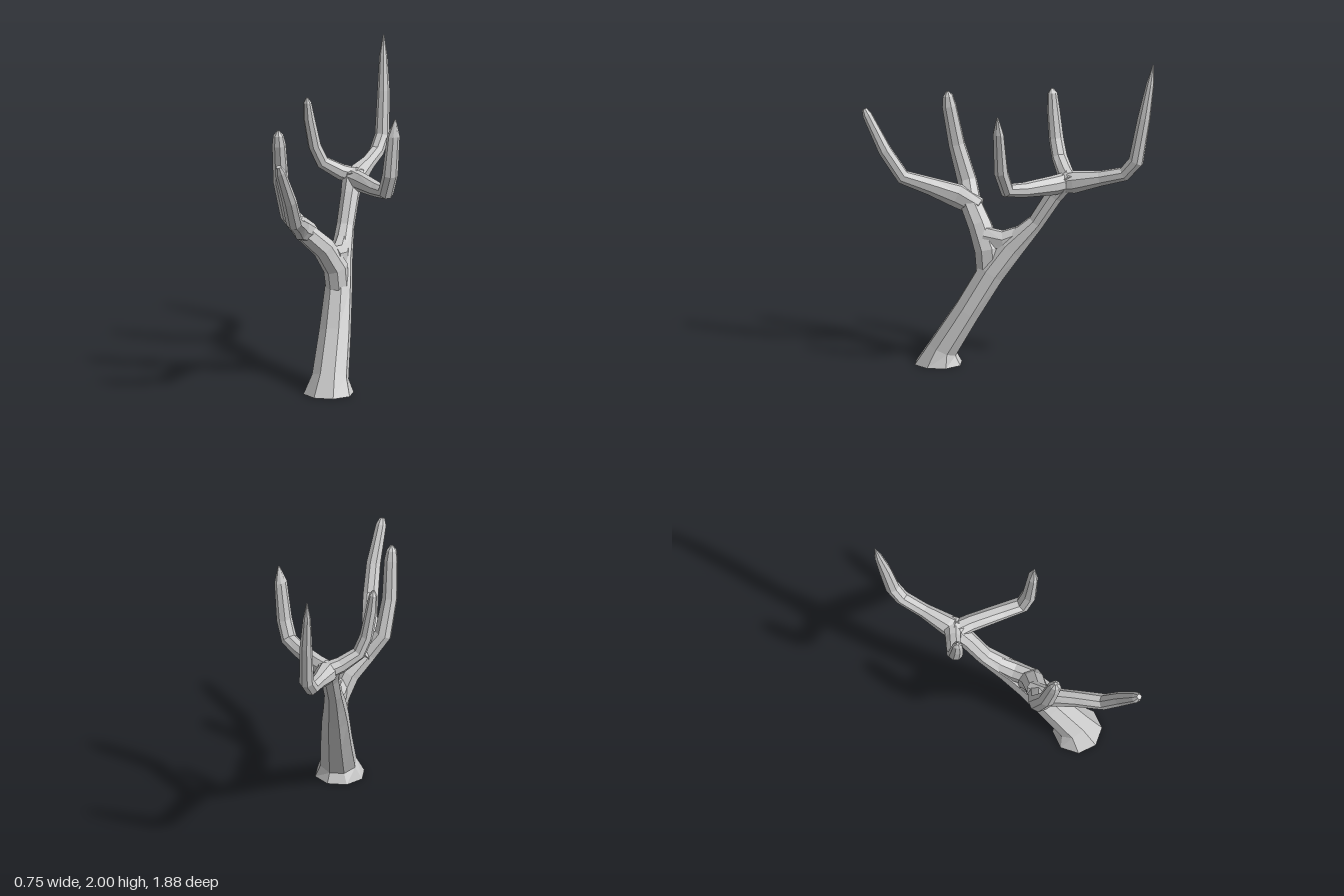
import * as THREE from 'three';

const SIDES = 8;
const material = new THREE.MeshStandardMaterial({ color: 0xcccccc, flatShading: true });

// Lofts an eight-sided limb through rings [x, y, z, radiusU, radiusV].
// "ref" sets the U direction; it is carried along the path without twisting.
function limb(name, ref, rings, startNormal) {
  const centres = rings.map(r => new THREE.Vector3(r[0], r[1], r[2]));
  const last = rings.length - 1;
  const u = new THREE.Vector3(...ref);
  const pos = [], index = [];
  rings.forEach(([, , , ru, rv = ru], i) => {
    // The ring plane bisects the incoming and outgoing directions
    const t = new THREE.Vector3();
    if (i > 0) t.add(centres[i].clone().sub(centres[i - 1]).normalize());
    if (i < last) t.add(centres[i + 1].clone().sub(centres[i]).normalize());
    if (i === 0 && startNormal) t.set(...startNormal);
    t.normalize();
    u.addScaledVector(t, -u.dot(t)).normalize();
    const v = t.clone().cross(u);
    for (let k = 0; k < SIDES; k++) {
      const a = ((k + 0.5) / SIDES) * Math.PI * 2;
      const p = centres[i].clone()
        .addScaledVector(u, Math.cos(a) * ru * 1.05)
        .addScaledVector(v, Math.sin(a) * rv * 1.05);
      pos.push(p.x, p.y, p.z);
    }
  });
  for (let i = 0; i < last; i++) {
    for (let k = 0; k < SIDES; k++) {
      const a = i * SIDES + k, b = i * SIDES + (k + 1) % SIDES;
      index.push(a, b, b + SIDES, a, b + SIDES, a + SIDES);
    }
  }
  // End caps
  const top = last * SIDES;
  for (let k = 1; k < SIDES - 1; k++) {
    index.push(0, k + 1, k, top, top + k, top + k + 1);
  }
  const indexed = new THREE.BufferGeometry();
  indexed.setAttribute('position', new THREE.Float32BufferAttribute(pos, 3));
  indexed.setIndex(index);
  const geometry = indexed.toNonIndexed();
  geometry.computeVertexNormals();
  const mesh = new THREE.Mesh(geometry, material);
  mesh.name = name;
  return mesh;
}

export function createModel() {
  const group = new THREE.Group();
  group.name = 'bareTree';
  const X = [1, 0, 0], Y = [0, 1, 0];

  group.add(
    // Leaning trunk with a flared foot, running up into the rear fork
    limb('trunk', X, [
      [0.01, 0, 0.435, 0.155, 0.15],
      [0.015, 0.1, 0.405, 0.115, 0.095],
      [0.01, 0.35, 0.25, 0.1, 0.085],
      [0, 0.6, 0.1, 0.085, 0.088],
      [-0.01, 0.76, -0.02, 0.07, 0.085],
      [-0.02, 0.93, -0.185, 0.056, 0.052],
      [-0.015, 1.11, -0.3, 0.058, 0.056],
      [-0.01, 1.21, -0.38, 0.07, 0.06],
      [-0.01, 1.25, -0.41, 0.04, 0.04],
    ], Y),
    // Web filling the crotch of the main fork
    limb('forkSaddle', X, [
      [-0.03, 0.81, 0.15, 0.055, 0.08],
      [-0.015, 0.79, 0.02, 0.06, 0.08],
      [-0.02, 0.85, -0.12, 0.05, 0.065],
    ]),
    // Front fork, sweeping to the right and turning upright
    limb('frontUprightBranch', X, [
      [0, 0.56, 0.11, 0.07, 0.08],
      [-0.015, 0.74, 0.12, 0.075, 0.085],
      [-0.08, 0.88, 0.175, 0.07, 0.075],
      [-0.19, 1.0, 0.245, 0.062, 0.068],
      [-0.285, 1.12, 0.275, 0.055, 0.062],
      [-0.32, 1.35, 0.345, 0.048, 0.052],
      [-0.322, 1.6, 0.393, 0.042, 0.045],
      [-0.325, 1.665, 0.402, 0.032],
      [-0.325, 1.695, 0.405, 0.01],
    ]),
    // Branch reaching forward from the front fork
    limb('frontReachingBranch', X, [
      [-0.16, 0.98, 0.19, 0.05, 0.06],
      [-0.195, 1.045, 0.33, 0.055, 0.075],
      [-0.175, 1.11, 0.5, 0.05, 0.056],
      [-0.16, 1.17, 0.675, 0.05, 0.045],
      [-0.165, 1.34, 0.79, 0.046, 0.042],
      [-0.2, 1.56, 0.905, 0.034, 0.03],
      [-0.205, 1.6, 0.925, 0.016],
    ]),
    // Three branches spreading from the rear fork
    limb('rearLeftBranch', Y, [
      [-0.04, 1.2, -0.4, 0.06, 0.06],
      [0.06, 1.195, -0.3, 0.06, 0.055],
      [0.2, 1.2, -0.13, 0.046, 0.052],
      [0.28, 1.215, -0.025, 0.046, 0.05],
      [0.315, 1.34, 0.01, 0.042, 0.05],
      [0.34, 1.6, 0.025, 0.03, 0.042],
      [0.353, 1.71, 0.03, 0.006],
    ]),
    limb('rearRightBranch', Y, [
      [0.03, 1.2, -0.41, 0.055, 0.06],
      [-0.09, 1.24, -0.365, 0.05, 0.05],
      [-0.2, 1.31, -0.32, 0.042, 0.048],
      [-0.245, 1.42, -0.295, 0.04, 0.046],
      [-0.275, 1.6, -0.275, 0.035, 0.04],
      [-0.285, 1.71, -0.268, 0.024, 0.03],
      [-0.287, 1.74, -0.266, 0.008],
    ]),
    limb('rearTallBranch', Y, [
      [-0.01, 1.19, -0.33, 0.06, 0.06],
      [0, 1.205, -0.43, 0.07, 0.065],
      [0.03, 1.24, -0.6, 0.048, 0.045],
      [0.055, 1.28, -0.755, 0.045, 0.045],
      [0.075, 1.37, -0.83, 0.048, 0.045],
      [0.073, 1.65, -0.88, 0.04, 0.038],
      [0.063, 1.87, -0.918, 0.025, 0.025],
      [0.06, 2.0, -0.938, 0.004],
    ]),
  );
  return group;
}
